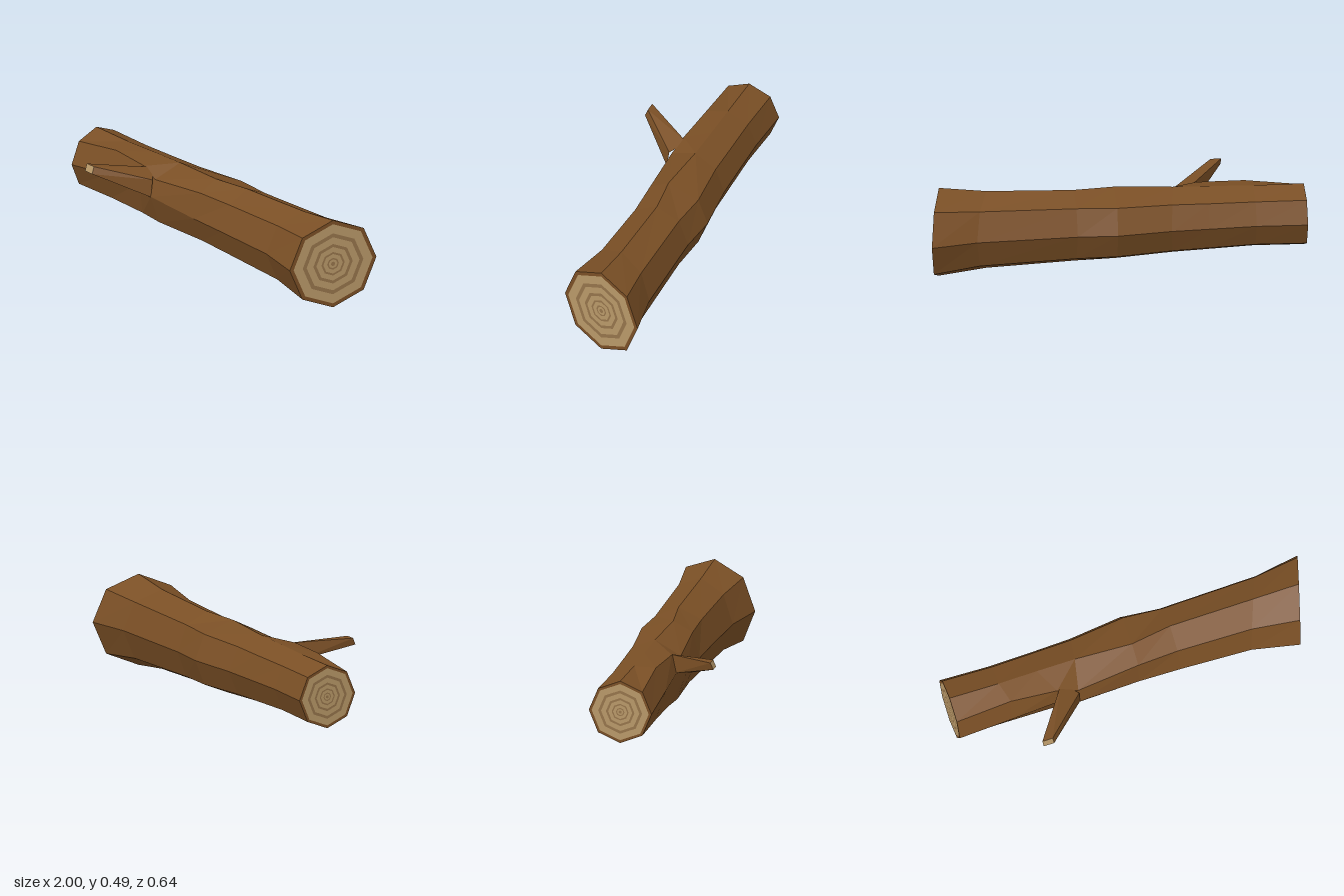
import * as THREE from 'three';

const mat = (color) => new THREE.MeshStandardMaterial({ color, flatShading: true, roughness: 1 });

// Faceted skin through a row of closed loops of Vector3
function loft(name, loops, material) {
  const pos = [];
  const tri = (...pts) => pts.forEach((p) => pos.push(p.x, p.y, p.z));
  for (let i = 0; i < loops.length - 1; i++) {
    const n = loops[i].length;
    for (let k = 0; k < n; k++) {
      const a = loops[i][k], b = loops[i + 1][k];
      const c = loops[i + 1][(k + 1) % n], d = loops[i][(k + 1) % n];
      tri(a, b, c);
      tri(a, c, d);
    }
  }
  const geo = new THREE.BufferGeometry();
  geo.setAttribute('position', new THREE.Float32BufferAttribute(pos, 3));
  geo.computeVertexNormals();
  const mesh = new THREE.Mesh(geo, material);
  mesh.name = name;
  return mesh;
}

// Copy of a loop shrunk towards its centre
function shrink(loop, f) {
  const c = new THREE.Vector3();
  loop.forEach((p) => c.addScaledVector(p, 1 / loop.length));
  return loop.map((p) => c.clone().lerp(p, f));
}

// Octagonal log section, corner 0 at the front, corner 2 on top;
// tilt slants the section, moved replaces single corners
function section({ x, tilt = 0, cy, cz, ry, rz, moved = {} }) {
  return Array.from({ length: 8 }, (_, k) => {
    if (moved[k]) return new THREE.Vector3(...moved[k]);
    const a = (k * Math.PI) / 4;
    const dz = rz * Math.cos(a);
    return new THREE.Vector3(x - tilt * dz, cy + ry * Math.sin(a), cz + dz);
  });
}

export function createModel() {
  const model = new THREE.Group();
  model.name = 'log';
  const bark = mat(0x7a4f25), wood = mat(0xb89868), darkWood = mat(0x95744b);

  // Trunk, thin end to flared, slanted end
  const sections = [
    { x: -1, cy: 0.25, cz: -0.085, ry: 0.17, rz: 0.17 },
    { x: -0.73, cy: 0.253, cz: -0.08, ry: 0.168, rz: 0.165,
      moved: { 0: [-0.71, 0.285, 0.083], 1: [-0.7, 0.41, 0.03] } },
    { x: -0.48, cy: 0.252, cz: -0.082, ry: 0.175, rz: 0.168,
      moved: { 0: [-0.46, 0.31, 0.078], 1: [-0.45, 0.405, 0.05], 2: [-0.52, 0.428, -0.08] } },
    { x: -0.31, tilt: 0.17, cy: 0.252, cz: -0.078, ry: 0.182, rz: 0.178,
      moved: { 0: [-0.34, 0.278, 0.1], 1: [-0.34, 0.368, 0.07] } },
    { x: 0, tilt: 0.05, cy: 0.252, cz: -0.102, ry: 0.192, rz: 0.185,
      moved: { 1: [0, 0.39, 0.045], 2: [0, 0.444, -0.06] } },
    { x: 0.22, cy: 0.25, cz: -0.09, ry: 0.198, rz: 0.177 },
    { x: 0.68, tilt: 0.39, cy: 0.25, cz: -0.088, ry: 0.215, rz: 0.191 },
    { x: 0.93, tilt: 0.293, cy: 0.247, cz: -0.081, ry: 0.246, rz: 0.238 },
  ].map(section);
  model.add(loft('trunk', sections, bark));

  // Cut ends: bark rim, then growth rings of alternating wood
  const radii = [1, 0.91, 0.7, 0.61, 0.455, 0.385, 0.27, 0.225, 0.135, 0.1, 0.05, 0];
  const ends = [['thinEnd', sections[0], true], ['flaredEnd', sections[7], false]];
  for (const [name, loop, facesBack] of ends) {
    const end = new THREE.Group();
    end.name = name;
    for (let i = 0; i < radii.length - 1; i++) {
      const band = [shrink(loop, radii[i]), shrink(loop, radii[i + 1])];
      if (facesBack) band.reverse();
      const material = i === 0 ? bark : i % 2 ? wood : darkWood;
      end.add(loft(i === 0 ? 'barkRim' : 'growthRing', band, material));
    }
    model.add(end);
  }

  // Four-sided broken branch: root inside the trunk, then tip
  const v = (p) => new THREE.Vector3(...p);
  const root = [[-0.42, 0.4, 0.02], [-0.34, 0.369, 0.085], [-0.34, 0.275, 0.098], [-0.45, 0.305, 0.06]].map(v);
  const tip = [[-0.617, 0.433, 0.303], [-0.56, 0.433, 0.303], [-0.557, 0.396, 0.318], [-0.614, 0.396, 0.318]].map(v);
  const branch = new THREE.Group();
  branch.name = 'branch';
  branch.add(loft('branchBark', [root, tip], bark));
  branch.add(loft('branchCut', [tip, shrink(tip, 0)], wood));
  model.add(branch);

  return model;
}
